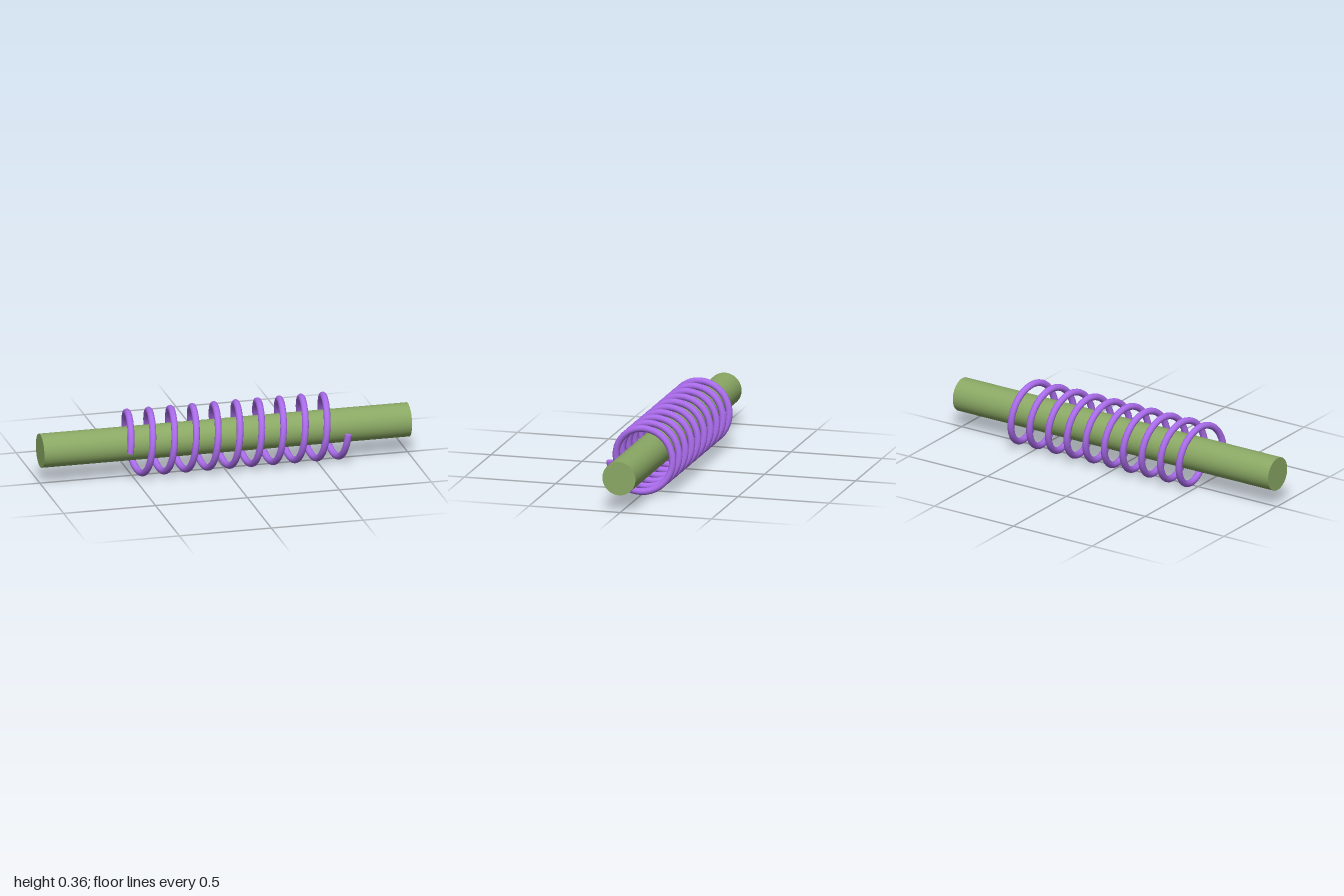
import * as THREE from 'three';

const ROD_RADIUS = 0.0905;
const COIL_RADIUS = 0.164;
const WIRE_RADIUS = 0.018;
const AXIS_Y = 0.182;
const TURNS = 10;
const START_X = -0.55;
const END_X = 0.635;

// Helix along x: starts at the front, rises over the top, then goes round the back
class Helix extends THREE.Curve {
  getPoint(t, target = new THREE.Vector3()) {
    const a = t * TURNS * Math.PI * 2;
    return target.set(
      START_X + (END_X - START_X) * t,
      AXIS_Y + COIL_RADIUS * Math.sin(a),
      COIL_RADIUS * Math.cos(a)
    );
  }
}

export function createModel() {
  const model = new THREE.Group();
  const green = new THREE.MeshStandardMaterial({ color: 0x8aa864 });
  const purple = new THREE.MeshStandardMaterial({ color: 0xa96bea });

  // Solid rod through the coil, slightly off its axis
  const rod = new THREE.Mesh(new THREE.CylinderGeometry(ROD_RADIUS, ROD_RADIUS, 2, 64), green);
  rod.name = 'rod';
  rod.rotation.z = Math.PI / 2;
  rod.position.set(0, 0.183, 0.007);
  model.add(rod);

  // Coil of round wire
  const coil = new THREE.Group();
  coil.name = 'coil';
  const helix = new Helix();
  const wire = new THREE.Mesh(new THREE.TubeGeometry(helix, TURNS * 40, WIRE_RADIUS, 16, false), purple);
  wire.name = 'coilWire';
  coil.add(wire);

  // Flat caps on the cut ends of the wire
  for (const [t, sign, name] of [[0, -1, 'coilStartCap'], [1, 1, 'coilEndCap']]) {
    const cap = new THREE.Mesh(new THREE.CircleGeometry(WIRE_RADIUS, 16), purple);
    cap.name = name;
    cap.position.copy(helix.getPoint(t));
    const outward = helix.getTangent(t).multiplyScalar(sign);
    cap.quaternion.setFromUnitVectors(new THREE.Vector3(0, 0, 1), outward);
    coil.add(cap);
  }
  model.add(coil);

  return model;
}
